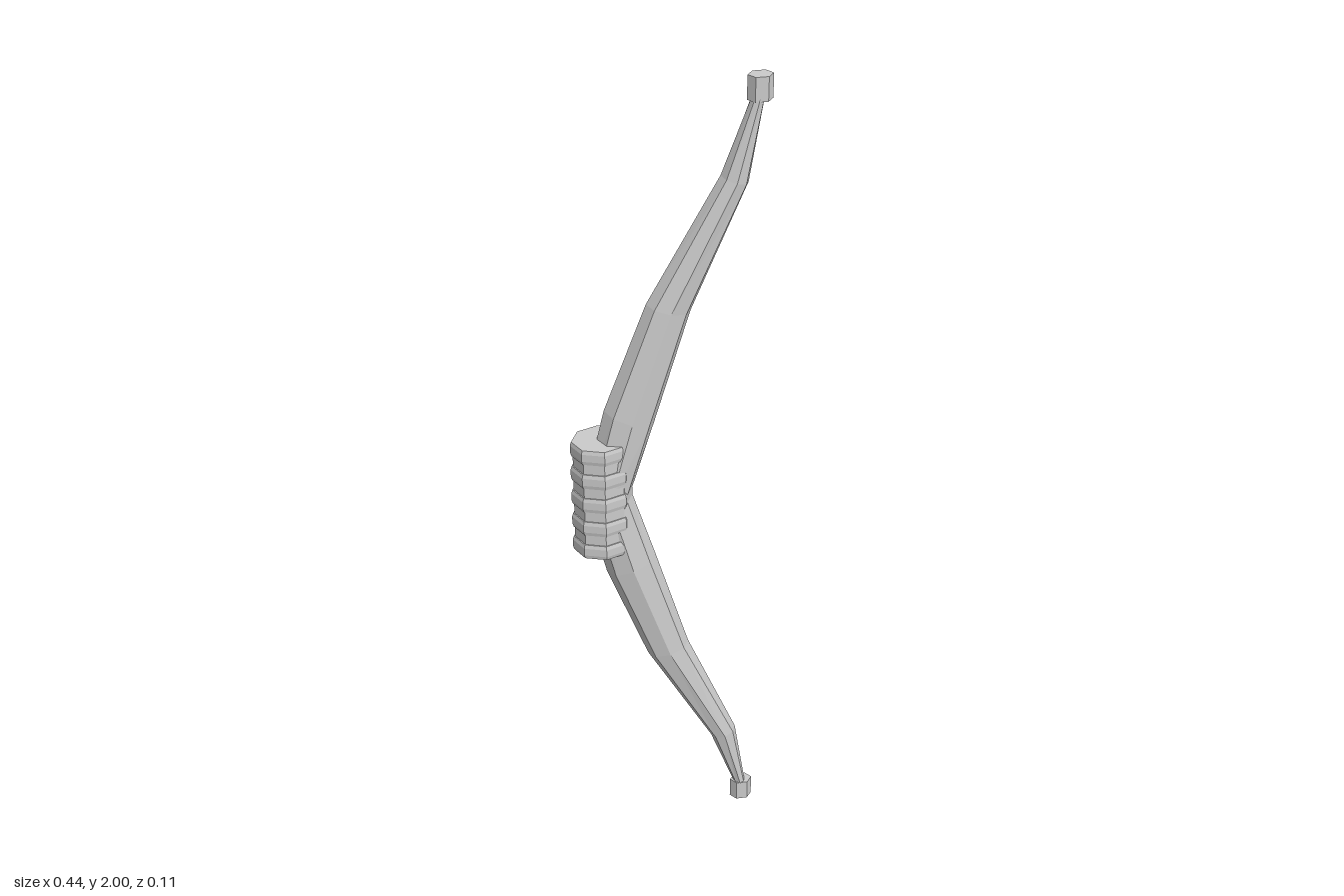
import * as THREE from 'three';

const material = new THREE.MeshStandardMaterial({ color: 0xcccccc, flatShading: true });

// Skin a row of octagonal sections: [centre x, centre y, half depth x, half width z, tilt]
function loft(sections, sides = 8) {
  const points = [];
  const index = [];
  for (const [cx, cy, rx, rz, tilt] of sections) {
    for (let i = 0; i < sides; i++) {
      const a = (i / sides) * Math.PI * 2;
      points.push(cx + Math.cos(a) * rx, cy - Math.cos(a) * tilt, Math.sin(a) * rz);
    }
  }
  for (let s = 0; s < sections.length - 1; s++) {
    for (let i = 0; i < sides; i++) {
      const a = s * sides + i;
      const b = s * sides + ((i + 1) % sides);
      index.push(a, a + sides, b, b, a + sides, b + sides);
    }
  }
  const indexed = new THREE.BufferGeometry();
  indexed.setAttribute('position', new THREE.Float32BufferAttribute(points, 3));
  indexed.setIndex(index);
  const geometry = indexed.toNonIndexed();
  geometry.computeVertexNormals();
  return geometry;
}

export function createModel() {
  const group = new THREE.Group();
  const add = (name, geometry) => {
    const mesh = new THREE.Mesh(geometry, material);
    mesh.name = name;
    group.add(mesh);
    return mesh;
  };

  // Recurved limbs: upper half mirrored about the grip
  const upper = [
    [-0.085, 1.205, 0.057, 0.043, 0.02],
    [0.003, 1.475, 0.049, 0.036, 0.012],
    [0.143, 1.77, 0.03, 0.028, 0.01],
    [0.191, 1.96, 0.013, 0.017, 0],
  ];
  const lower = upper.map(([x, y, rx, rz, t]) => [x, 2 - y, rx, rz, -t]).reverse();
  add('limbs', loft([...lower, [-0.138, 1, 0.055, 0.045, 0], ...upper]));

  // Wrapped grip: five bands separated by shallow grooves
  const bands = 5;
  const bottom = 0.85;
  const pitch = 0.0655;
  const height = 0.038;
  const profile = [new THREE.Vector2(0, bottom)];
  for (let i = 0; i < bands; i++) {
    const y = bottom + i * pitch;
    if (i > 0) profile.push(new THREE.Vector2(0.92, y));
    profile.push(
      new THREE.Vector2(0.96, y),
      new THREE.Vector2(1, y + height * 0.25),
      new THREE.Vector2(1, y + height * 0.75),
      new THREE.Vector2(0.96, y + height),
    );
    if (i < bands - 1) profile.push(new THREE.Vector2(0.92, y + height));
  }
  profile.push(new THREE.Vector2(0, bottom + (bands - 1) * pitch + height));
  const grip = add('grip', new THREE.LatheGeometry(profile, 8).scale(0.07, 1, 0.057));
  grip.position.x = -0.15;

  // Hexagonal tips
  for (const [name, y] of [['upperTip', 1.9725], ['lowerTip', 0.0275]]) {
    const geometry = new THREE.CylinderGeometry(1, 1, 0.055, 6).rotateY(Math.PI / 2);
    const tip = add(name, geometry.scale(0.0275, 1, 0.02));
    tip.position.set(0.1925, y, 0);
  }

  return group;
}
